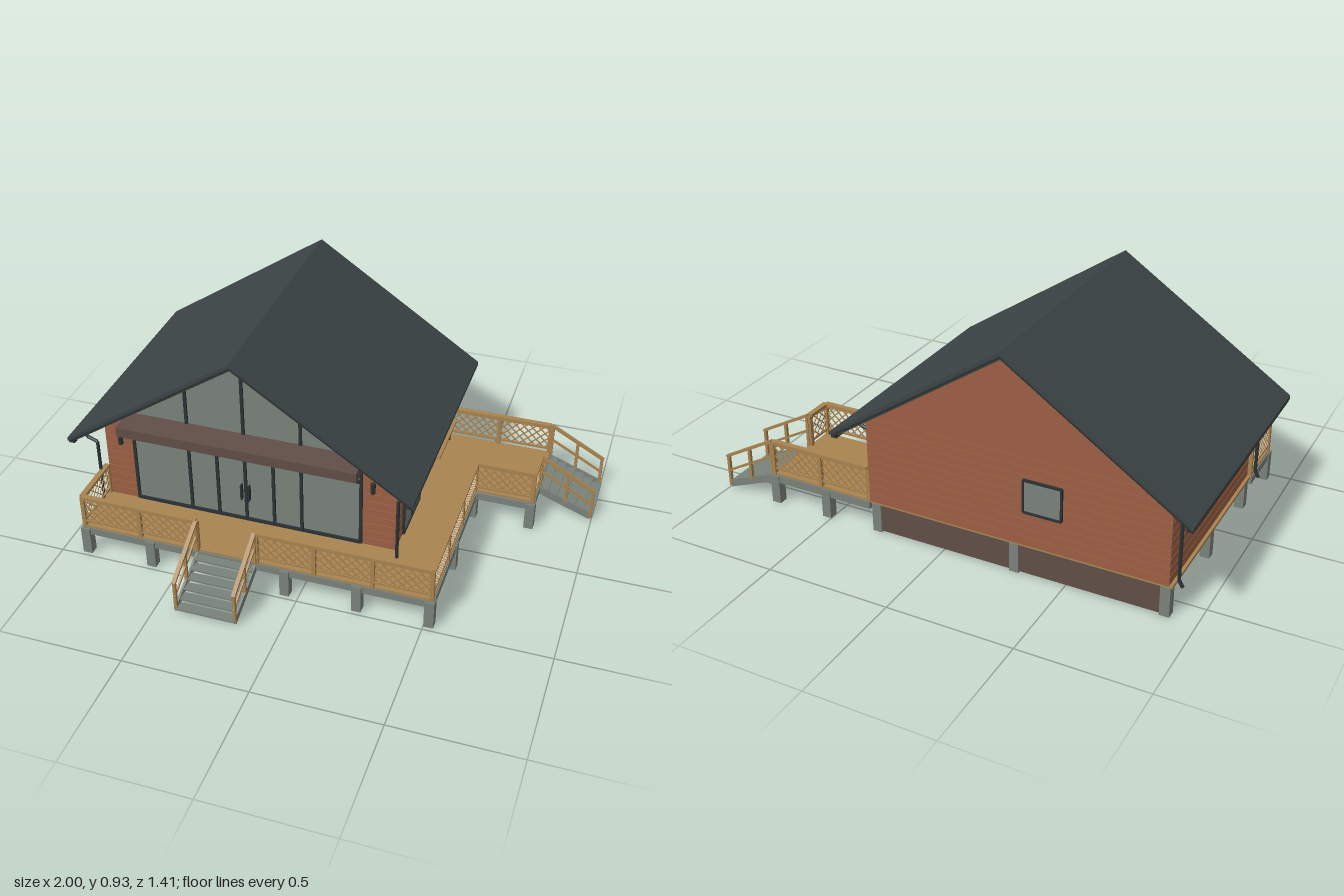
import * as THREE from 'three';

const mat = (name, color, opts = {}) => {
  const m = new THREE.MeshStandardMaterial({ color, ...opts });
  m.name = name;
  return m;
};
const brick = mat('brick', 0x9c5f43);
const wood = mat('wood', 0xa88350);
const grey = mat('grey', 0x79827a);
const glass = mat('glass', 0x79827a);
const roofing = mat('roofing', 0x3c4445);
const trim = mat('trim', 0x2b3233);
const brown = mat('brown', 0x614e47);

const RIDGE = -0.295, SLOPE = 0.67, DECK = 0.13;
const FRONT = 0.235, BACK = -0.6, LEFT = 0.315, RIGHT = -0.89;
const underRoof = x => 0.89 - Math.abs(x - RIDGE) * SLOPE;

function group(parent, name) {
  const g = new THREE.Group();
  g.name = name;
  parent.add(g);
  return g;
}

// box given by its lowest and highest corners
function box(parent, name, m, [x0, y0, z0], [x1, y1, z1]) {
  const mesh = new THREE.Mesh(new THREE.BoxGeometry(x1 - x0, y1 - y0, z1 - z0), m);
  mesh.position.set((x0 + x1) / 2, (y0 + y1) / 2, (z0 + z1) / 2);
  mesh.name = name;
  parent.add(mesh);
  return mesh;
}

// straight bar between two points
function bar(parent, name, m, a, b, w = 0.012, h = w) {
  const p = new THREE.Vector3(...a), q = new THREE.Vector3(...b);
  const mesh = new THREE.Mesh(new THREE.BoxGeometry(w, h, p.distanceTo(q)), m);
  mesh.position.copy(p).lerp(q, 0.5);
  mesh.lookAt(q);
  mesh.name = name;
  parent.add(mesh);
}

// outline in x,y pushed from z0 to z1
function prism(parent, name, m, pts, z0, z1) {
  const shape = new THREE.Shape(pts.map(p => new THREE.Vector2(...p)));
  const geo = new THREE.ExtrudeGeometry(shape, { depth: z1 - z0, bevelEnabled: false });
  const mesh = new THREE.Mesh(geo, m);
  mesh.position.z = z0;
  mesh.name = name;
  parent.add(mesh);
}

// pitched layer of the roof
function chevron(parent, name, m, top, thick, half, z0, z1) {
  const e = top - half * SLOPE;
  prism(parent, name, m, [[RIDGE - half, e - thick], [RIDGE, top - thick], [RIDGE + half, e - thick],
    [RIDGE + half, e], [RIDGE, top], [RIDGE - half, e]], z0, z1);
}

// glazed panel facing local +z, centred on the given point
function windowUnit(parent, name, w, h, pos, turn, mullions = []) {
  const g = group(parent, name), f = 0.008;
  box(g, 'pane', glass, [-w / 2, -h / 2, 0], [w / 2, h / 2, 0.004]);
  for (const x of [-w / 2, w / 2, ...mullions]) box(g, 'frameUpright', trim, [x - f / 2, -h / 2, 0], [x + f / 2, h / 2, 0.01]);
  for (const y of [-h / 2, h / 2]) box(g, 'frameRail', trim, [-w / 2, y - f / 2, 0], [w / 2, y + f / 2, 0.01]);
  g.position.set(...pos);
  g.rotation.y = turn;
  return g;
}

// lattice railing running from one deck point to another
function railing(parent, x0, z0, x1, z1) {
  const g = group(parent, 'railing');
  const len = Math.hypot(x1 - x0, z1 - z0), lo = 0.02, hi = 0.125, h = hi - lo, step = 0.036;
  bar(g, 'topRail', wood, [0, 0.137, 0], [len, 0.137, 0], 0.022, 0.01);
  bar(g, 'upperRail', wood, [0, hi, 0], [len, hi, 0], 0.008);
  bar(g, 'lowerRail', wood, [0, lo, 0], [len, lo, 0], 0.008);
  const n = Math.max(1, Math.round(len / 0.24));
  for (let i = 0; i <= n; i++) {
    const x = len * i / n;
    box(g, 'railPost', wood, [x - 0.008, -0.01, -0.008], [x + 0.008, 0.135, 0.008]);
  }
  for (let c = -h + step / 2; c < len; c += step) {
    const a = Math.max(0, c), b = Math.min(len, c + h);
    if (b - a < 0.01) continue;
    bar(g, 'lattice', wood, [a, lo + a - c, 0.002], [b, lo + b - c, 0.002], 0.003, 0.005);
    bar(g, 'lattice', wood, [a, hi - a + c, -0.002], [b, hi - b + c, -0.002], 0.003, 0.005);
  }
  g.position.set(x0, DECK, z0);
  g.rotation.y = -Math.atan2(z1 - z0, x1 - x0);
}

// open stair descending along local +z
function stairs(parent, name, x, z, turn) {
  const g = group(parent, name), L = 0.23, W = 0.12, n = 6;
  for (let i = 0; i < n; i++) {
    const y = 0.112 - i * 0.018, d = i * L / n;
    box(g, 'tread', grey, [-W, y - 0.007, d], [W, y, d + L / n + 0.004]);
  }
  for (const s of [-W, W]) {
    bar(g, 'stringer', grey, [s, 0.108, -0.01], [s, 0.018, L - 0.005], 0.01, 0.03);
    for (const t of [0.02, 0.5, 0.97]) {
      const y = 0.12 * (1 - t);
      box(g, 'stairPost', wood, [s - 0.006, y + 0.005, L * t - 0.006], [s + 0.006, y + 0.14, L * t + 0.006]);
    }
    bar(g, 'handrail', wood, [s, 0.268, 0], [s, 0.142, L], 0.016, 0.01);
    bar(g, 'middleRail', wood, [s, 0.2, 0], [s, 0.075, L], 0.007, 0.009);
  }
  g.position.set(x, 0, z);
  g.rotation.y = turn;
}

function downspout(parent, x, z, side) {
  const pts = [[0.075, 0.44], [0.06, 0.42], [0.02, 0.405], [0.02, 0.13], [0.035, 0.105]]
    .map(([d, y]) => new THREE.Vector3(x + side * d, y, z));
  const path = new THREE.CurvePath();
  for (let i = 1; i < pts.length; i++) path.add(new THREE.LineCurve3(pts[i - 1], pts[i]));
  const mesh = new THREE.Mesh(new THREE.TubeGeometry(path, 40, 0.007, 8), trim);
  mesh.name = 'downspout';
  parent.add(mesh);
}

function lamp(parent, x, y, z) {
  const mesh = new THREE.Mesh(new THREE.CylinderGeometry(0.01, 0.01, 0.045, 10), trim);
  mesh.position.set(x, y, z);
  mesh.name = 'wallLamp';
  parent.add(mesh);
}

export function createModel() {
  const model = new THREE.Group();
  model.name = 'house';

  // walls: solid gabled body with slightly raised courses
  const walls = group(model, 'walls');
  prism(walls, 'body', brick, [[RIGHT, DECK - 0.005], [LEFT, DECK - 0.005], [LEFT, underRoof(LEFT)],
    [RIDGE, 0.89], [RIGHT, underRoof(RIGHT)]], BACK, FRONT);
  for (let y = DECK; y < 0.46; y += 0.036)
    box(walls, 'course', brick, [RIGHT - 0.003, y, BACK - 0.003], [LEFT + 0.003, y + 0.033, FRONT + 0.003]);

  // glazed front
  const facade = group(model, 'glazedFront');
  const gx0 = -0.765, gx1 = 0.178, fz = FRONT + 0.005;
  prism(facade, 'frontGlass', glass, [[gx0, 0.135], [gx1, 0.135], [gx1, underRoof(gx1)], [RIDGE, 0.89],
    [gx0, underRoof(gx0)]], FRONT, fz);
  for (const x of [gx0, -0.53, RIDGE, -0.063, gx1])
    box(facade, 'mullion', trim, [x - 0.006, 0.135, FRONT], [x + 0.006, underRoof(x), fz + 0.008]);
  for (const x of [-0.412, -0.178])
    box(facade, 'doorJamb', trim, [x - 0.006, 0.135, FRONT], [x + 0.006, 0.43, fz + 0.008]);
  for (const y of [0.14, 0.43])
    box(facade, 'transom', trim, [gx0, y - 0.007, FRONT], [gx1, y + 0.007, fz + 0.007]);
  for (const s of [-1, 1])
    box(facade, 'doorHandle', trim, [RIDGE + s * 0.016 - 0.003, 0.24, fz], [RIDGE + s * 0.016 + 0.003, 0.31, fz + 0.02]);
  box(model, 'frontBeam', brown, [-0.78, 0.508, FRONT], [0.192, 0.55, 0.355]);

  // side and back openings
  const quarter = Math.PI / 2;
  const door = windowUnit(model, 'sideDoor', 0.24, 0.295, [LEFT + 0.003, 0.285, 0.02], quarter, [0]);
  box(door, 'doorHandle', trim, [-0.02, -0.04, 0.005], [-0.014, 0.02, 0.022]);
  windowUnit(model, 'servingWindow', 0.265, 0.14, [LEFT + 0.003, 0.362, -0.333], quarter, [0.03]);
  box(model, 'servingCounter', wood, [LEFT, 0.28, -0.475], [0.38, 0.291, -0.195]);
  for (const z of [-0.44, -0.23]) bar(model, 'counterBracket', trim, [LEFT, 0.24, z], [0.365, 0.28, z], 0.006);
  for (const z of [-0.36, -0.03])
    windowUnit(model, 'sideWindow', 0.14, 0.12, [RIGHT - 0.003, 0.345, z], -quarter);
  windowUnit(model, 'backWindow', 0.15, 0.13, [-0.41, 0.335, BACK - 0.003], Math.PI);
  for (const x of [-0.82, 0.228]) lamp(model, x, 0.42, FRONT + 0.018);
  for (const z of [0.17, -0.15, -0.52]) lamp(model, LEFT + 0.018, 0.412, z);

  // roof layers
  const roof = group(model, 'roof');
  chevron(roof, 'shingles', roofing, 0.925, 0.016, 0.705, -0.705, 0.35);
  chevron(roof, 'vergeBoard', trim, 0.909, 0.013, 0.7, -0.7, 0.346);
  chevron(roof, 'soffit', brown, 0.896, 0.006, 0.69, -0.69, 0.336);
  for (const s of [-1, 1]) {
    const x = RIDGE + s * 0.69;
    box(roof, 'gutter', trim, [x - 0.012, 0.428, -0.7], [x + 0.012, 0.446, 0.345]);
  }
  for (const z of [0.278, -0.555]) {
    downspout(roof, LEFT, z, 1);
    downspout(roof, RIGHT, z, -1);
  }

  // deck floor, edge beams and piers
  const deck = group(model, 'deck');
  box(deck, 'floor', wood, [-0.905, 0.118, -0.6], [0.53, DECK, 0.47]);
  box(deck, 'sideFloor', wood, [0.53, 0.118, -0.6], [0.77, DECK, -0.235]);
  const edges = [[-0.905, 0.465, 0.53, 0.465], [0.525, 0.465, 0.525, -0.23], [0.525, -0.235, 0.77, -0.235],
    [0.765, -0.235, 0.765, -0.6], [0.32, -0.595, 0.77, -0.595], [-0.9, 0.235, -0.9, 0.465]];
  for (const [x0, z0, x1, z1] of edges)
    bar(deck, 'edgeBeam', grey, [x0, 0.107, z0], [x1, 0.107, z1], 0.02, 0.032);
  const piers = [[0.52, 0.115], [0.52, -0.235], [0.76, -0.235], [0.52, -0.59], [0.76, -0.59]];
  for (const x of [-0.895, -0.615, -0.055, 0.235, 0.52]) piers.push([x, 0.465]);
  for (const x of [-0.88, RIDGE, 0.29]) for (const z of [-0.585, -0.18, 0.21]) piers.push([x, z]);
  for (const [x, z] of piers) box(deck, 'pier', grey, [x - 0.019, 0, z - 0.019], [x + 0.019, 0.12, z + 0.019]);
  box(deck, 'backSkirt', brown, [-0.87, 0.005, -0.598], [0.3, 0.12, -0.585]);

  // railings
  const rails = [[-0.9, 0.465, -0.415, 0.465], [-0.17, 0.465, 0.525, 0.465], [0.525, 0.465, 0.525, -0.235],
    [0.525, -0.235, 0.765, -0.235], [0.765, -0.235, 0.765, -0.35], [0.325, -0.595, 0.765, -0.595],
    [-0.9, 0.24, -0.9, 0.465]];
  for (const r of rails) railing(model, ...r);

  stairs(model, 'frontStairs', RIDGE, 0.47, 0);
  stairs(model, 'sideStairs', 0.77, -0.475, quarter);
  return model;
}
